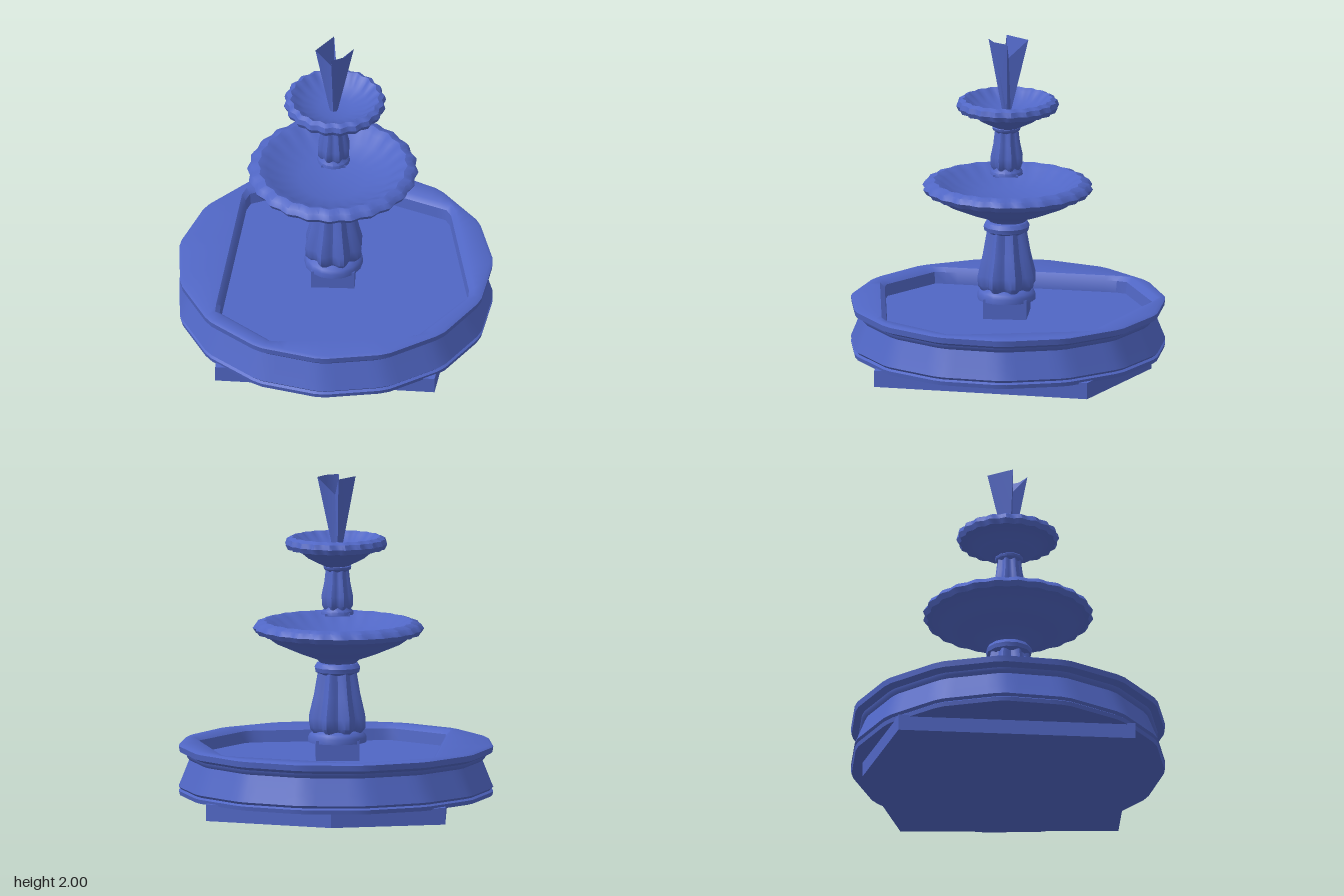
import * as THREE from 'three';
import { toCreasedNormals } from 'three/addons/utils/BufferGeometryUtils.js';

const TAU = Math.PI * 2;

// Radius rules: each returns a function of the angle (0 = +z, a quarter turn = +x)
const circle = (r) => () => r;
const lobed = (r, count, depth) => (a) => r + depth * Math.cos(count * a);
const regular = (r, sides, phase = 0) => (a) => {
  const step = TAU / sides;
  const t = (((a + phase) % step) + step) % step;
  return (r * Math.cos(step / 2)) / Math.cos(t - step / 2);
};
const polygon = (points, scale = 1) => (a) => {
  const dx = Math.sin(a), dz = Math.cos(a);
  let best = 0;
  points.forEach(([x, z], i) => {
    const [x2, z2] = points[(i + 1) % points.length];
    const ex = x2 - x, ez = z2 - z;
    const det = dx * ez - dz * ex;
    if (Math.abs(det) < 1e-9) return;
    const t = (x * ez - z * ex) / det;
    const s = (x * dz - z * dx) / det;
    if (t > 0 && s > -1e-6 && s < 1 + 1e-6) best = Math.max(best, t);
  });
  return best * scale;
};

// Skin a stack of [height, radius rule] rings, bottom and outside first
function loft(rings, segments, crease = 0.7) {
  const position = [], index = [];
  for (const [y, rule] of rings) {
    const radius = typeof rule === 'number' ? circle(rule) : rule;
    for (let j = 0; j < segments; j++) {
      const a = (j / segments) * TAU, r = radius(a);
      position.push(r * Math.sin(a), y, r * Math.cos(a));
    }
  }
  for (let i = 0; i < rings.length - 1; i++) {
    for (let j = 0; j < segments; j++) {
      const k = (j + 1) % segments;
      const a = i * segments + j, b = i * segments + k;
      const c = a + segments, d = b + segments;
      index.push(a, b, c, b, d, c);
    }
  }
  const geometry = new THREE.BufferGeometry();
  geometry.setAttribute('position', new THREE.Float32BufferAttribute(position, 3));
  geometry.setIndex(index);
  return toCreasedNormals(geometry, crease);
}

export function createModel() {
  const stone = new THREE.MeshStandardMaterial({ color: 0x5066c4, side: THREE.DoubleSide });
  stone.name = 'blue stone';
  const model = new THREE.Group();
  model.name = 'fountain';
  const add = (name, geometry, parent = model) => {
    const mesh = new THREE.Mesh(geometry, stone);
    mesh.name = name;
    parent.add(mesh);
    return mesh;
  };

  // Five-cornered ground slab
  const slab = [[0, 0.96], [0.97, 0.07], [0.17, -0.96], [-0.58, -0.66], [-0.97, -0.08]];
  const shape = new THREE.Shape(slab.map(([x, z]) => new THREE.Vector2(x, -z)));
  const slabGeometry = new THREE.ExtrudeGeometry(shape, { depth: 0.1, bevelEnabled: false });
  add('plinth', slabGeometry.rotateX(-Math.PI / 2));

  // Basin: moulded outer wall, rounded rim and uneven seven-cornered floor
  const floor = [[-0.85, -0.07], [-0.12, 0.82], [0.3, 0.78], [0.84, 0.11],
    [0.76, -0.39], [0.08, -0.85], [-0.67, -0.54]];
  const wall = (r) => regular(r, 15, 0.1);
  const basin = add('basin', loft([
    [0.09, 0], [0.09, wall(0.945)], [0.115, wall(0.95)], [0.125, wall(0.935)],
    [0.14, wall(0.95)], [0.2, wall(0.925)], [0.3, wall(0.885)], [0.315, wall(0.9)],
    [0.33, wall(0.905)], [0.35, wall(0.945)], [0.385, wall(0.95)], [0.395, wall(0.93)],
    [0.395, polygon(floor, 1.05)], [0.37, polygon(floor, 1.01)], [0.3, polygon(floor)], [0.3, 0],
  ], 90));
  basin.position.z = -0.01;

  // Pedestals: diamond foot, turned collar, fluted shaft and cap
  function pedestal(name, footRadius, footBottom, footTop, collar, shaft, cap, flute) {
    const group = new THREE.Group();
    group.name = name;
    model.add(group);
    const height = footTop - footBottom;
    const foot = new THREE.CylinderGeometry(footRadius, footRadius, height, 4).toNonIndexed();
    foot.computeVertexNormals();
    add('foot', foot, group).position.y = footBottom + height / 2;
    add('collar', loft(collar, 16), group);
    add('fluted shaft', loft(shaft.map(([y, r]) => [y, lobed(r, 8, -flute * r)]), 48), group);
    add('cap', loft(cap, 12), group);
  }
  pedestal('lower pedestal', 0.185, 0.29, 0.42,
    [[0.4, 0.175], [0.43, 0.175], [0.45, 0.165], [0.47, 0.14], [0.48, 0]],
    [[0.46, 0.14], [0.49, 0.162], [0.55, 0.164], [0.68, 0.135], [0.82, 0.112]],
    [[0.81, 0.11], [0.825, 0.135], [0.85, 0.14], [0.875, 0.125], [0.885, 0.1], [0.89, 0]], 0.11);
  pedestal('upper pedestal', 0.105, 1.165, 1.18,
    [[1.17, 0.098], [1.19, 0.095], [1.205, 0.08], [1.22, 0.075], [1.225, 0]],
    [[1.2, 0.075], [1.225, 0.09], [1.28, 0.092], [1.36, 0.076], [1.45, 0.066]],
    [[1.43, 0.065], [1.445, 0.083], [1.46, 0.086], [1.475, 0.07], [1.48, 0]], 0.1);

  // Bowls with scalloped, rolled rims
  const scallop = (r, count) => lobed(r, count, 0.008);
  add('lower bowl', loft([
    [0.87, 0], [0.87, 0.1], [0.9, 0.13], [0.94, 0.24], [1.0, 0.38], [1.05, 0.45],
    [1.055, scallop(0.485, 24)], [1.085, scallop(0.505, 24)], [1.115, scallop(0.485, 24)],
    [1.13, scallop(0.44, 24)], [1.11, scallop(0.395, 24)], [1.06, 0.33], [1.02, 0.2], [1.0, 0],
  ], 96)).rotation.z = 0.008;
  add('upper bowl', loft([
    [1.46, 0], [1.46, 0.07], [1.475, 0.1], [1.51, 0.17], [1.56, 0.23],
    [1.565, scallop(0.285, 20)], [1.595, scallop(0.3, 20)], [1.625, scallop(0.29, 20)],
    [1.64, scallop(0.262, 20)], [1.62, scallop(0.235, 20)], [1.58, 0.19], [1.55, 0.1], [1.54, 0],
  ], 80)).position.z = -0.01;

  // Water jet: a narrow stem flaring to a notched, pinched mouth
  const mouth = [[0, 1.89, 0.02], [0.07, 2, 0.085], [0.098, 2, 0], [0.075, 2, -0.095],
    [0, 1.89, -0.02], [-0.095, 2, -0.09], [-0.07, 2, 0.085]];
  const corners = [];
  mouth.forEach((p, i) => {
    const q = mouth[(i + 1) % mouth.length];
    const stem = ([x, , z]) => {
      const a = Math.atan2(x, z);
      return [0.025 * Math.sin(a), 1.55, 0.025 * Math.cos(a)];
    };
    corners.push(...stem(p), ...stem(q), ...p, ...stem(q), ...q, ...p);
  });
  const jet = new THREE.BufferGeometry();
  jet.setAttribute('position', new THREE.Float32BufferAttribute(corners, 3));
  add('water jet', toCreasedNormals(jet, 0.8));

  return model;
}
